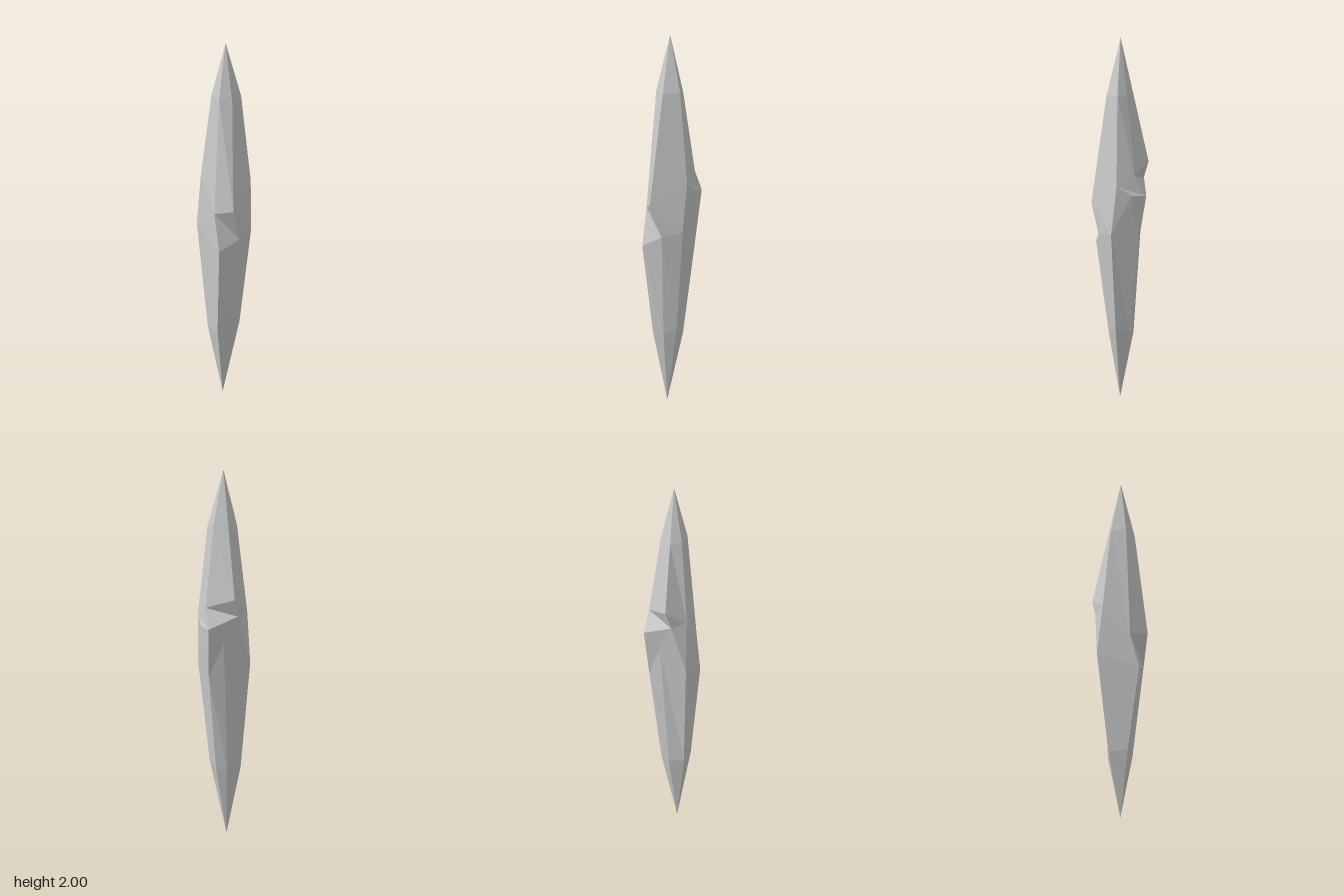
import * as THREE from 'three';

// Turns a stack of equal-length rings (bottom to top) into faceted faces
function loft(rings) {
  const out = [];
  const add = (...tri) => {
    const [a, b, c] = tri.map((p) => new THREE.Vector3(...p));
    const area = b.clone().sub(a).cross(c.clone().sub(a)).length();
    if (area > 1e-7) tri.forEach((p) => out.push(...p)); // skip collapsed corners
  };
  for (let r = 0; r < rings.length - 1; r++) {
    const lo = rings[r], up = rings[r + 1], n = lo.length;
    for (let i = 0; i < n; i++) {
      const j = (i + 1) % n;
      add(lo[i], lo[j], up[i]);
      add(lo[j], up[j], up[i]);
    }
  }
  const geo = new THREE.BufferGeometry();
  geo.setAttribute('position', new THREE.Float32BufferAttribute(out, 3));
  geo.computeVertexNormals();
  return geo;
}

// Ring order: front, left front, notch side, left back, back, right back, right front.
// The notch column repeats its neighbour except where the chip is.
const ring = (f, lf, lb, b, rb, rf, notch = lf) => [f, lf, notch, lb, b, rb, rf];
const tip = (p) => ring(p, p, p, p, p, p);

export function createModel() {
  const group = new THREE.Group();
  group.name = 'crystalShard';

  // Widest corners, shared by both edges of the chipped notch
  const front = [-0.05, 1.08, 0.154], leftFront = [0.12, 1.2, 0.043];
  const rightBack = [-0.12, 1.23, -0.082], rightFront = [-0.12, 1.055, 0.068];

  const rings = [
    tip([-0.03, 0, 0]),
    // Lower taper
    ring([-0.016, 0.36, 0.064], [0.053, 0.4, 0.038], [0.045, 0.37, -0.042],
      [-0.01, 0.36, -0.07], [-0.092, 0.37, -0.055], [-0.09, 0.37, 0.05]),
    // Lower girdle
    ring([0.005, 0.905, 0.122], [0.107, 0.93, 0.071], [0.1, 0.88, -0.08],
      [0.025, 1.06, -0.112], [-0.127, 0.95, -0.113], [-0.118, 0.85, 0.118]),
    // Lower edge of the chipped notch
    ring(front, leftFront, [0.116, 1.145, -0.121],
      [-0.05, 1.21, -0.134], rightBack, rightFront, [0.127, 1.15, -0.04]),
    // Upper edge of the chipped notch
    ring(front, leftFront, [0.11, 1.255, -0.058],
      [-0.023, 1.305, -0.155], rightBack, rightFront),
    // Upper taper
    ring([-0.014, 1.68, 0.077], [0.068, 1.69, 0.03], [0.055, 1.69, -0.025],
      [-0.017, 1.69, -0.0695], [-0.075, 1.7, -0.043], [-0.075, 1.7, 0.04]),
    tip([-0.012, 2, 0]),
  ];

  const shard = new THREE.Mesh(
    loft(rings),
    new THREE.MeshStandardMaterial({ color: 0xcccccc, flatShading: true })
  );
  shard.name = 'shard';
  group.add(shard);
  return group;
}
